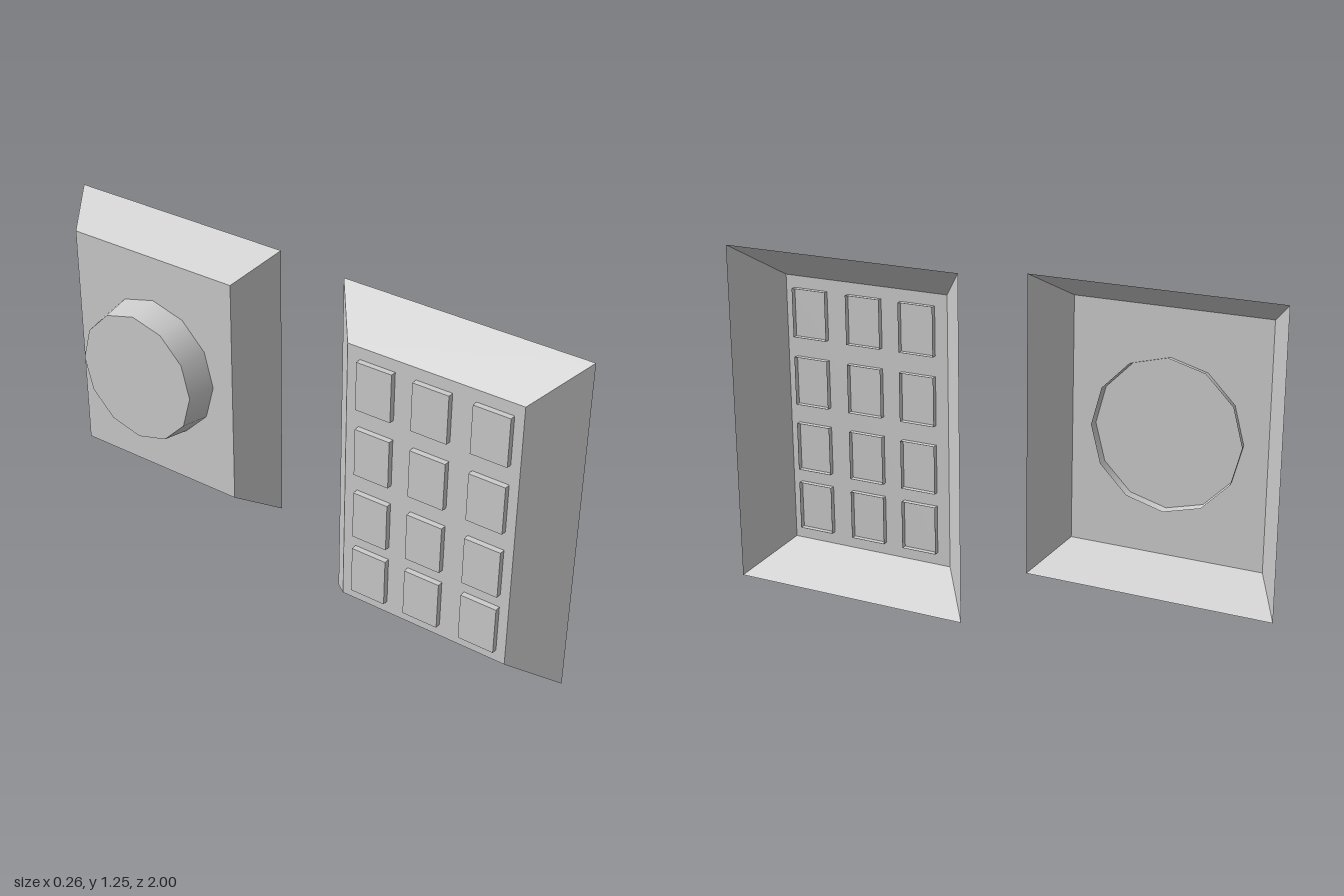
import * as THREE from 'three';

const material = new THREE.MeshStandardMaterial({ color: 0xcccccc, side: THREE.DoubleSide });

// Four corners of a rectangle at depth x, counter-clockwise as seen from -x
const rect = (x, y0, y1, z0, z1) => [[x, y0, z0], [x, y0, z1], [x, y1, z1], [x, y1, z0]];

// Open-backed tray: a front face joined to the back rim by four flat walls
function tray(name, back, front) {
  const points = [];
  const quad = (a, b, c, d) => points.push(...a, ...b, ...c, ...a, ...c, ...d);
  quad(...front);
  for (let i = 0; i < 4; i++) {
    const j = (i + 1) % 4;
    quad(back[i], back[j], front[j], front[i]);
  }
  const geometry = new THREE.BufferGeometry();
  geometry.setAttribute('position', new THREE.Float32BufferAttribute(points, 3));
  geometry.computeVertexNormals();
  const mesh = new THREE.Mesh(geometry, material);
  mesh.name = name;
  return mesh;
}

// Bevelled panel with a grid of raised keys
function createKeypad() {
  const group = new THREE.Group();
  group.name = 'keypad';
  group.add(tray('keypadPanel',
    rect(0.13, 0, 1.222, 0.1, 1),
    rect(-0.028, 0.122, 1.1, 0.228, 0.866)));
  const h = 0.087, w = 0.066;
  for (const y of [0.254, 0.478, 0.723, 0.97]) {
    for (const z of [0.342, 0.55, 0.766]) {
      const outline = [y - h, y + h, z - w, z + w];
      group.add(tray('key', rect(-0.008, ...outline), rect(-0.049, ...outline)));
    }
  }
  return group;
}

// Bevelled panel with a tapered twelve-sided knob
function createDial() {
  const group = new THREE.Group();
  group.name = 'dial';
  group.add(tray('dialPanel',
    rect(0.124, 0.23, 1.247, -1, -0.145),
    rect(-0.028, 0.323, 1.155, -0.908, -0.237)));

  const back = 0, front = -0.132, frontRadius = 0.2355;
  const side = new THREE.Mesh(
    new THREE.CylinderGeometry(frontRadius, 0.258, back - front, 12, 1, true).rotateZ(Math.PI / 2),
    material);
  side.name = 'knobSide';
  side.position.set((back + front) / 2, 0.739, -0.573);

  const face = new THREE.Mesh(
    new THREE.CircleGeometry(frontRadius, 12).rotateY(-Math.PI / 2), material);
  face.name = 'knobFace';
  face.position.set(front, 0.739, -0.573);
  group.add(side, face);
  return group;
}

export function createModel() {
  const model = new THREE.Group();
  model.name = 'wallControls';
  model.add(createKeypad(), createDial());
  return model;
}
